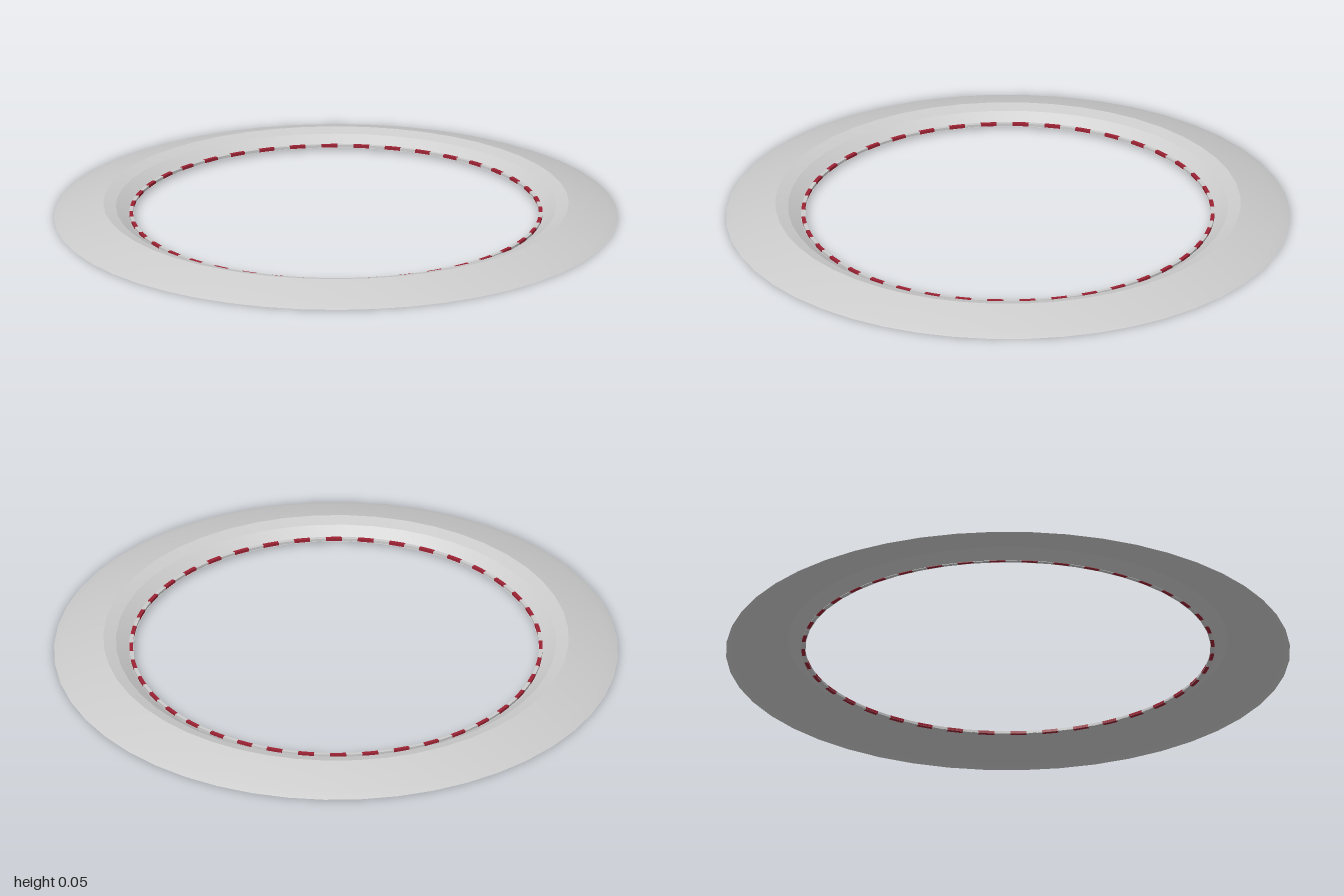
import * as THREE from 'three';
import { toCreasedNormals } from 'three/addons/utils/BufferGeometryUtils.js';

export function createModel() {
  const model = new THREE.Group();
  const grey = new THREE.MeshStandardMaterial({ color: 0xcccccc, side: THREE.DoubleSide });
  const red = new THREE.MeshStandardMaterial({ color: 0x9c2233 });
  const pale = new THREE.MeshStandardMaterial({ color: 0xcccccc });

  // Thin banked shell: outer skirt, broad slope, crest, dished inner bank, narrow ledge
  const profile = [
    [1, 0], [0.965, 0.015], [0.825, 0.055], [0.78, 0.043], [0.735, 0.014], [0.718, 0.012],
  ].map(([r, y]) => new THREE.Vector2(r, y));
  const shell = new THREE.Mesh(
    toCreasedNormals(new THREE.LatheGeometry(profile, 48), 0.14), grey);
  shell.name = 'bankedRing';
  model.add(shell);

  // Alternating red and grey kerb blocks on the inner ledge
  const kerb = new THREE.Group();
  kerb.name = 'innerKerb';
  const count = 80;
  const step = (Math.PI * 2) / count;
  const inner = 0.719, outer = 0.732;
  const arc = new THREE.Shape();
  arc.absarc(0, 0, outer, -step / 2, step / 2, false);
  arc.absarc(0, 0, inner, step / 2, -step / 2, true);
  const block = new THREE.ExtrudeGeometry(arc, { depth: 0.01, bevelEnabled: false, curveSegments: 2 });
  block.rotateX(-Math.PI / 2);
  block.translate(0, 0.012, 0);
  for (let i = 0; i < count; i++) {
    const b = new THREE.Mesh(block, i % 2 ? pale : red);
    b.name = i % 2 ? 'greyKerbBlock' : 'redKerbBlock';
    b.rotation.y = i * step;
    kerb.add(b);
  }
  model.add(kerb);
  return model;
}
